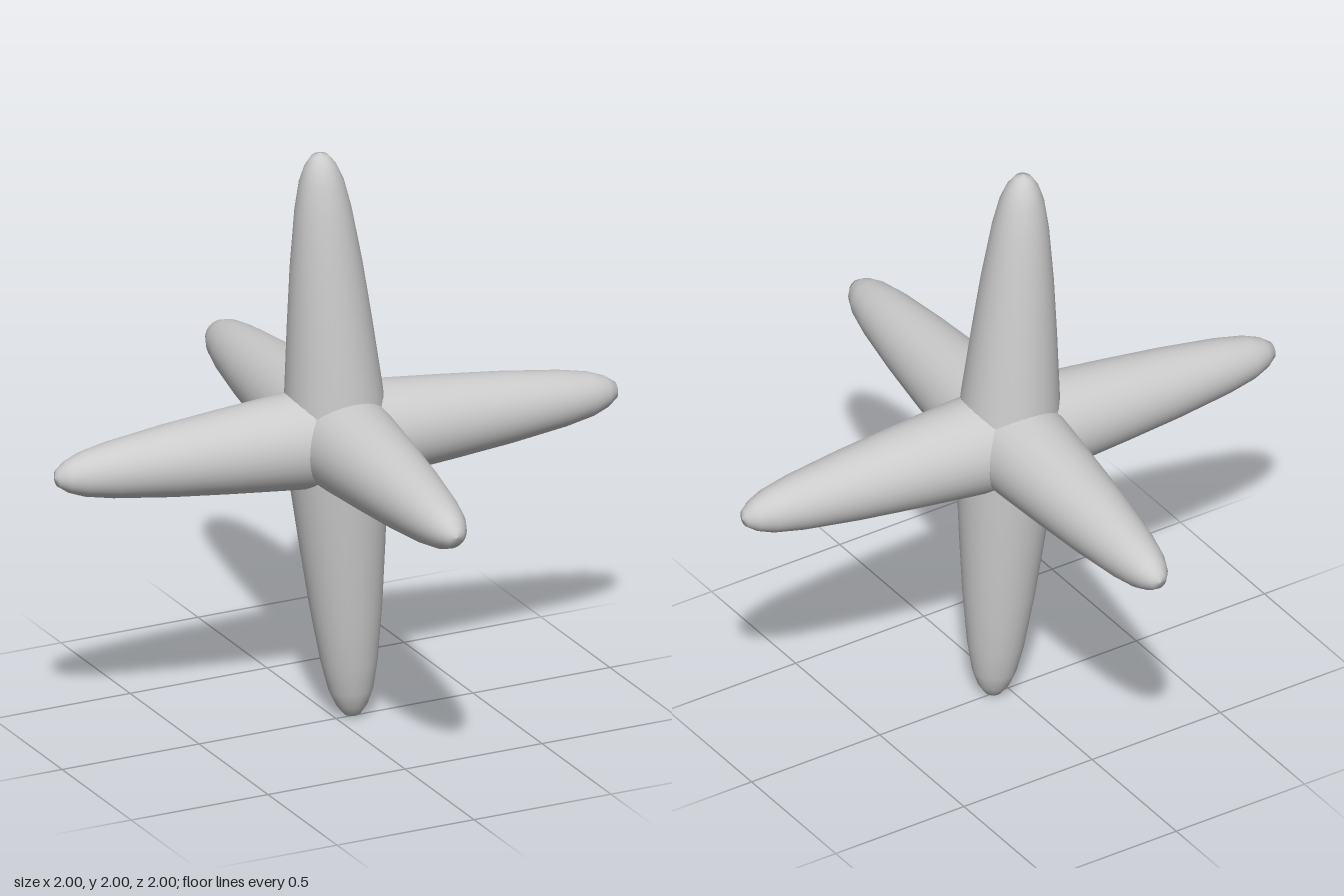
import * as THREE from 'three';

// Radius along one spike, from the shared centre to the rounded tip
const PROFILE = [
  [0.172, 0], [0.161, 0.165], [0.140, 0.4], [0.120, 0.6], [0.107, 0.7], [0.094, 0.8],
  [0.074, 0.9], [0.053, 0.955], [0.028, 0.99], [0, 1],
];
const LEAN = 0.06; // sideways offset of each tip

export function createModel() {
  const group = new THREE.Group();
  group.name = 'sixPointedJack';

  const material = new THREE.MeshStandardMaterial({ color: 0xcccccc });
  const points = PROFILE.map(([r, t]) => new THREE.Vector2(r, t));
  const spikeGeometry = new THREE.LatheGeometry(points, 32);
  const up = new THREE.Vector3(0, 1, 0);

  // Each axis carries two opposite spikes, both leaning the same way round
  const axes = [
    ['upper', 'lower', new THREE.Vector3(-LEAN, 1, 0)],
    ['left', 'right', new THREE.Vector3(1, 0, LEAN)],
    ['front', 'back', new THREE.Vector3(-LEAN, 0, 1)],
  ];
  for (const [nameA, nameB, axis] of axes) {
    for (const [name, sign] of [[nameA, 1], [nameB, -1]]) {
      const spike = new THREE.Mesh(spikeGeometry, material);
      spike.name = `${name}Spike`;
      spike.quaternion.setFromUnitVectors(up, axis.clone().multiplyScalar(sign).normalize());
      spike.position.y = 1;
      group.add(spike);
    }
  }
  return group;
}
